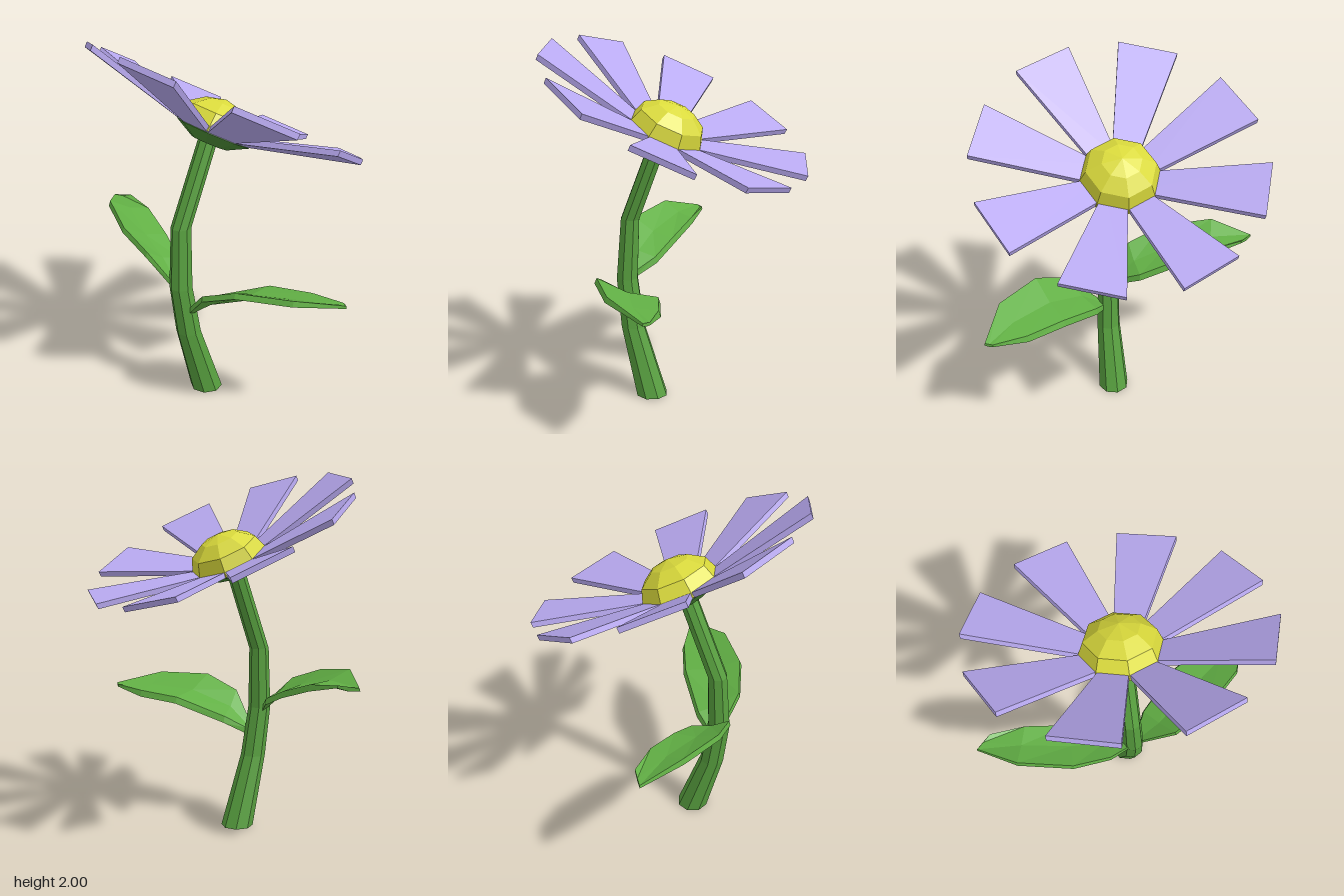
import * as THREE from 'three';

const V = (x, y, z) => new THREE.Vector3(x, y, z);
const paint = (color) => new THREE.MeshStandardMaterial({ color, flatShading: true });
const stemGreen = paint(0x58a03f);
const leafGreen = paint(0x62b045);
const calyxGreen = paint(0x4a8a35);
const lilac = paint(0xb8a9f0);
const yellow = paint(0xdada3c);

// Closed solid skinned over a row of cross-sections with equal point counts
function loft(rings) {
  const pos = [];
  const tri = (a, b, c) => [a, b, c].forEach((p) => pos.push(p.x, p.y, p.z));
  const n = rings[0].length;
  for (let i = 0; i < rings.length - 1; i++) {
    for (let j = 0; j < n; j++) {
      const k = (j + 1) % n;
      const a = rings[i][j], b = rings[i][k], c = rings[i + 1][k], d = rings[i + 1][j];
      tri(a, c, b);
      tri(a, d, c);
    }
  }
  const first = rings[0], last = rings[rings.length - 1];
  for (let j = 1; j < n - 1; j++) {
    tri(first[0], first[j], first[j + 1]);
    tri(last[0], last[j + 1], last[j]);
  }
  const geometry = new THREE.BufferGeometry();
  geometry.setAttribute('position', new THREE.Float32BufferAttribute(pos, 3));
  geometry.computeVertexNormals();
  return geometry;
}

function part(name, geometry, material) {
  const mesh = new THREE.Mesh(geometry, material);
  mesh.name = name;
  return mesh;
}

// Eight-sided stem bending to the front and back again: x, y, z, radius
function stem() {
  const path = [
    [-0.015, 0, 0.13, 0.09], [-0.065, 0.4, 0.235, 0.069], [-0.09, 0.68, 0.265, 0.063],
    [-0.095, 1.02, 0.245, 0.055], [-0.02, 1.49, 0.075, 0.052],
  ];
  const rings = path.map(([x, y, z, r]) => Array.from({ length: 8 }, (_, i) => {
    const a = ((i + 0.5) * Math.PI) / 4;
    return V(x + r * Math.cos(a), y, z + r * Math.sin(a));
  }));
  return part('stem', loft(rings), stemGreen);
}

// Leaf slab between a front and a back edge, sagging along the midrib
function leaf(name, edges) {
  const rings = edges.map(([f, b], i) => {
    const front = V(...f), back = V(...b);
    const mid = front.clone().lerp(back, 0.5);
    mid.y -= 0.08 * front.distanceTo(back);
    const thick = i === edges.length - 1 ? 0.015 : 0.035;
    const low = (p) => p.clone().add(V(0, -thick, 0));
    return [front.clone().lerp(mid, 0.07), mid, back.clone().lerp(mid, 0.07),
      low(back), low(mid), low(front)];
  });
  // Sections must run towards +x for the faces to point outwards
  if (edges[0][0][0] > edges[edges.length - 1][0][0]) rings.reverse();
  return part(name, loft(rings), leafGreen);
}

// Flat wedge of a petal pointing along +x and rising outwards
function petal() {
  const section = (r, h, w, t) => [V(r, h, w), V(r, h, -w), V(r, h - t, -w), V(r, h - t, w)];
  return loft([section(0.1, 0.03, 0.062, 0.03), section(0.75, 0.2, 0.163, 0.03)]);
}

function lathe(points) {
  const profile = points.map(([r, y]) => new THREE.Vector2(r, y));
  return new THREE.LatheGeometry(profile, 8, Math.PI / 8);
}

// Tilted flower head: calyx, yellow centre and a ring of eight petals
function flowerHead() {
  const head = new THREE.Group();
  head.name = 'flowerHead';
  const side = V(1.46, -0.29, 0.165).normalize();
  const axis = V(-0.04, 0.62, 1.37).cross(side).normalize();
  const forward = side.clone().cross(axis);
  head.quaternion.setFromRotationMatrix(new THREE.Matrix4().makeBasis(side, axis, forward));
  head.position.set(-0.015, 1.48, 0.06);

  head.add(part('calyx', lathe([[0, -0.04], [0.1, -0.035], [0.205, 0.02], [0.195, 0.035], [0, 0.035]]), calyxGreen));
  head.add(part('flowerCentre', lathe([[0, 0.03], [0.222, 0.03], [0.185, 0.125], [0.105, 0.18], [0, 0.205]]), yellow));
  const petalShape = petal();
  for (let i = 0; i < 8; i++) {
    const mesh = part('petal' + (i + 1), petalShape, lilac);
    mesh.rotation.y = (i * Math.PI) / 4;
    head.add(mesh);
  }
  return head;
}

export function createModel() {
  const flower = new THREE.Group();
  flower.name = 'flower';
  flower.add(stem(), flowerHead());
  // Each pair is a point on the front edge and one on the back edge
  flower.add(leaf('leftLeaf', [
    [[-0.03, 0.57, 0.28], [-0.03, 0.55, 0.23]],
    [[0.12, 0.74, 0.4], [0.08, 0.62, 0.15]],
    [[0.32, 0.82, 0.42], [0.36, 0.72, 0.08]],
    [[0.61, 0.82, 0.35], [0.6, 0.74, 0.08]],
    [[0.82, 0.76, 0.165], [0.79, 0.755, 0.13]],
  ]));
  flower.add(leaf('rightLeaf', [
    [[-0.12, 0.7, 0.29], [-0.12, 0.69, 0.24]],
    [[-0.28, 0.86, 0.31], [-0.2, 0.76, 0.1]],
    [[-0.48, 0.935, 0.24], [-0.34, 0.83, 0]],
    [[-0.71, 0.98, 0.05], [-0.54, 0.905, -0.12]],
    [[-0.83, 0.92, -0.165], [-0.72, 0.93, -0.19]],
  ]));
  return flower;
}
